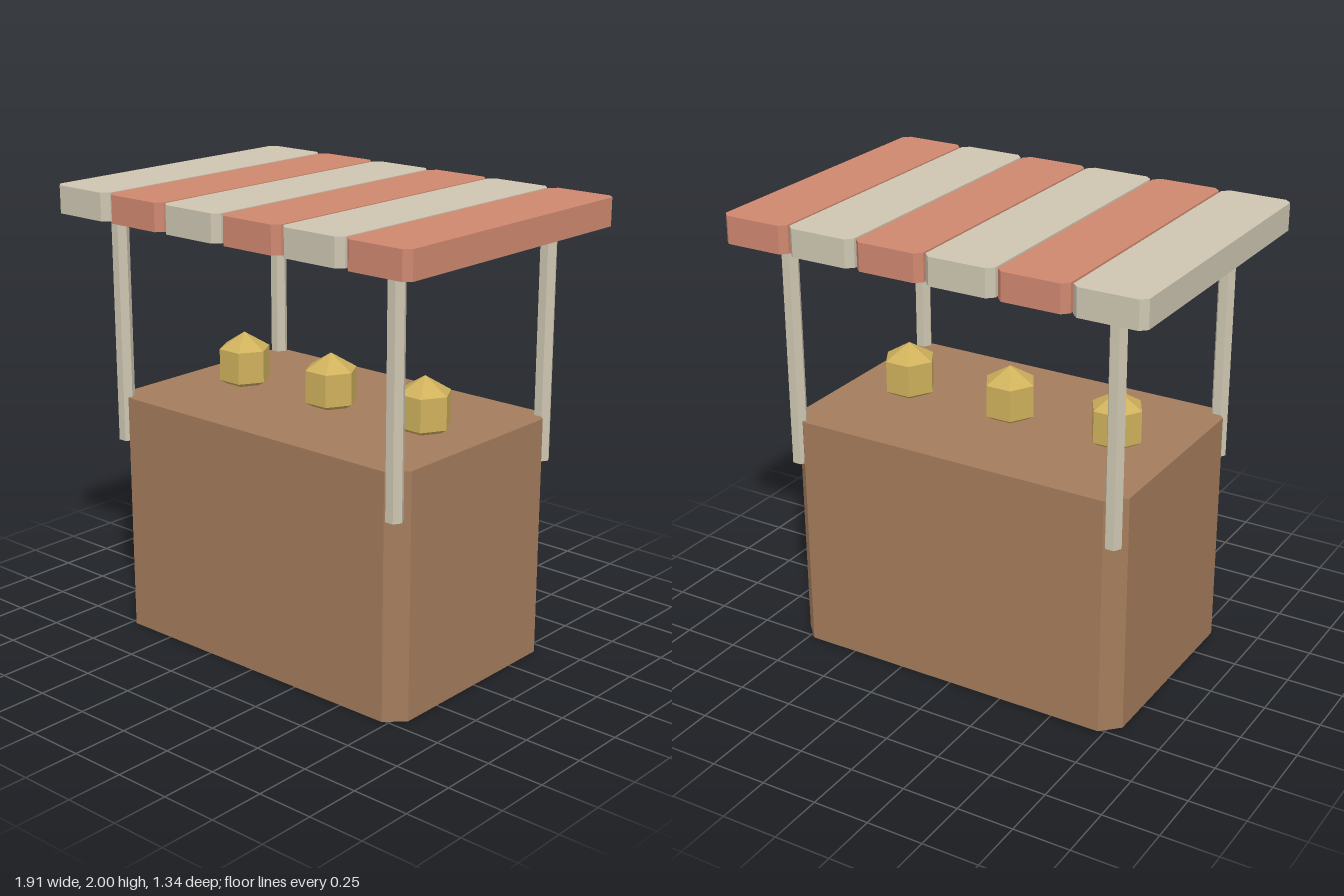
import * as THREE from 'three';

const material = (name, color) => {
  const m = new THREE.MeshStandardMaterial({ color, flatShading: true });
  m.name = name;
  return m;
};

// Upright block whose four vertical edges are cut at 45 degrees; stands on y = 0
function chamferedBlock(width, height, depth, cut) {
  const x = width / 2, z = depth / 2;
  const shape = new THREE.Shape([
    [x, -z + cut], [x, z - cut], [x - cut, z], [-x + cut, z],
    [-x, z - cut], [-x, -z + cut], [-x + cut, -z], [x - cut, -z],
  ].map(([a, b]) => new THREE.Vector2(a, b)));
  return new THREE.ExtrudeGeometry(shape, { depth: height, bevelEnabled: false }).rotateX(-Math.PI / 2);
}

export function createModel() {
  const wood = material('brown wood', 0xa47c5c);
  const cream = material('cream', 0xcec6b2);
  const red = material('faded red', 0xcf8870);
  const gold = material('gold', 0xcfb15c);

  const stall = new THREE.Group();
  stall.name = 'marketStall';
  const add = (name, geometry, mat, x, y, z) => {
    const mesh = new THREE.Mesh(geometry, mat);
    mesh.name = name;
    mesh.position.set(x, y, z);
    stall.add(mesh);
    return mesh;
  };

  // Counter
  add('counter', chamferedBlock(1.6, 1.07, 1.024, 0.076), wood, 0, 0, 0);

  // Six-sided posts at the corners
  const post = new THREE.CylinderGeometry(0.038, 0.038, 1.02, 6).rotateY(Math.PI / 6);
  for (const [side, x] of [['Left', 0.76], ['Right', -0.76]]) {
    for (const [end, z] of [['front', 0.49], ['back', -0.49]]) {
      add(`${end}${side}Post`, post, cream, x, 1.38, z);
    }
  }

  // Striped canopy of separate slats
  const slat = chamferedBlock(0.31, 0.12, 1.34, 0.028);
  for (let i = 0; i < 6; i++) {
    add(`canopySlat${i + 1}`, slat, i % 2 ? red : cream, (i - 2.5) * 0.321, 1.88, 0);
  }

  // Faceted goods, partly sunk into the counter
  const goods = new THREE.SphereGeometry(0.133, 6, 3).scale(1, 1.07, 1);
  [-0.513, 0, 0.513].forEach((x, i) => add(`goods${i + 1}`, goods, gold, x, 1.16, 0));

  return stall;
}
